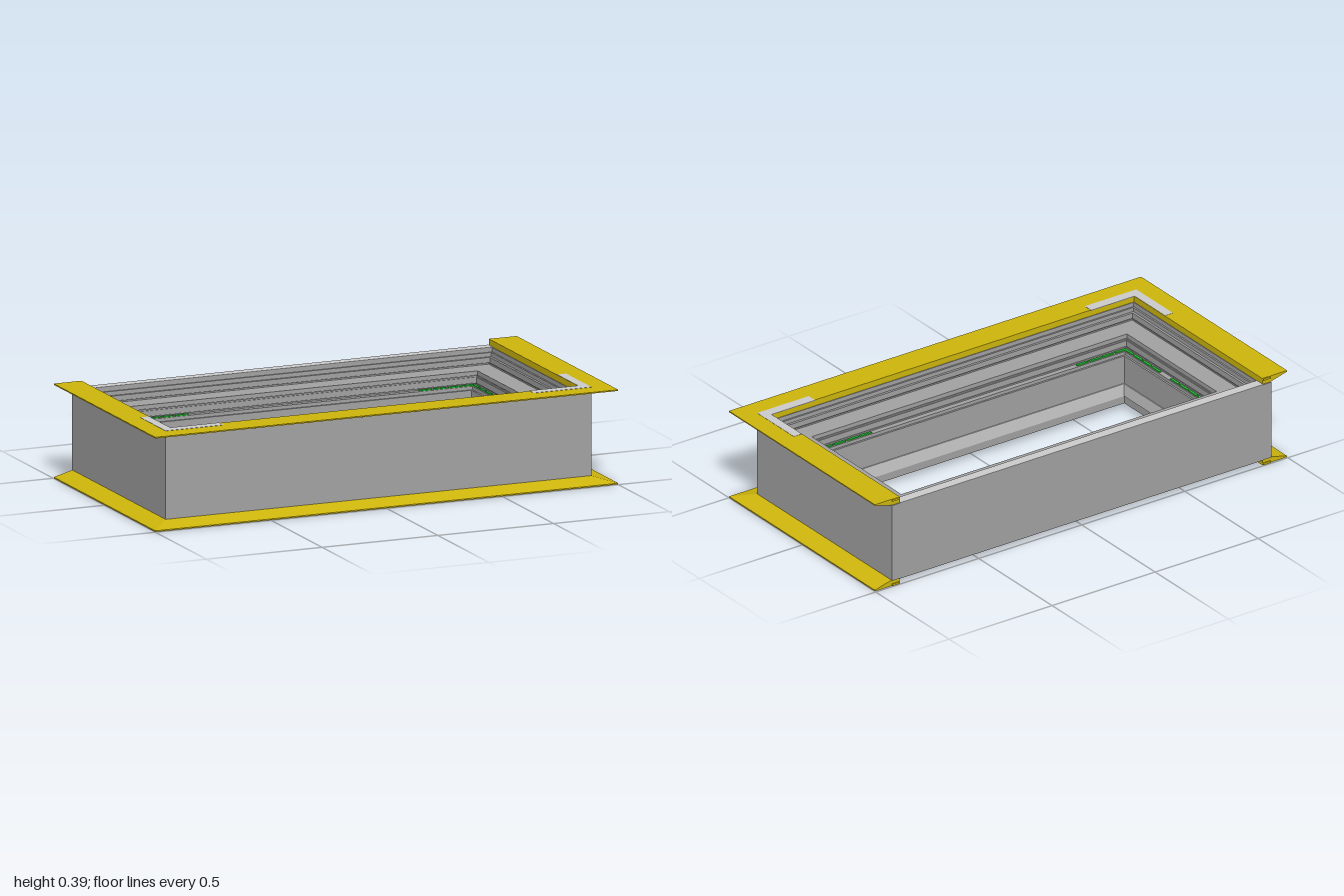
import * as THREE from 'three';

const H = 0.387;            // overall height
const HX = 0.92, HZ = 0.46; // half size of the box frame
const CZ = -0.04;           // z centre of the box frame

const material = (color) => new THREE.MeshStandardMaterial({ color, flatShading: true });

// Sweep a closed [offset, y] profile along mitred stations; station(d) gives [x, z] pairs.
function sweep(profile, station, closed) {
  const n = profile.length;
  const paths = profile.map(([d]) => station(d));
  const m = paths[0].length;
  const pts = [];
  for (let s = 0; s < m; s++)
    for (let i = 0; i < n; i++) pts.push(new THREE.Vector3(paths[i][s][0], profile[i][1], paths[i][s][1]));
  const tris = [];
  for (let s = 0; s < (closed ? m : m - 1); s++) {
    const t = (s + 1) % m;
    for (let i = 0; i < n; i++) {
      const j = (i + 1) % n;
      const a = s * n + i, b = s * n + j, c = t * n + j, d = t * n + i;
      tris.push([a, b, c], [a, c, d]);
    }
  }
  if (!closed) {
    // End caps, wound to agree with the sides
    const contour = profile.map(([d, y]) => new THREE.Vector2(d, y));
    const ccw = !THREE.ShapeUtils.isClockWise(contour);
    for (let [a, b, c] of THREE.ShapeUtils.triangulateShape(contour.slice(), [])) {
      const p = contour;
      const area = (p[b].x - p[a].x) * (p[c].y - p[a].y) - (p[b].y - p[a].y) * (p[c].x - p[a].x);
      if ((area > 0) !== ccw) [b, c] = [c, b];
      const e = (m - 1) * n;
      tris.push([a, c, b], [e + a, e + b, e + c]);
    }
  }
  // Turn the shell outwards if its signed volume is negative
  let volume = 0;
  for (const [a, b, c] of tris) volume += pts[a].dot(new THREE.Vector3().crossVectors(pts[b], pts[c]));
  const out = [];
  for (const [a, b, c] of tris)
    for (const k of volume > 0 ? [a, b, c] : [a, c, b]) out.push(pts[k].x, pts[k].y, pts[k].z);
  const g = new THREE.BufferGeometry();
  g.setAttribute('position', new THREE.Float32BufferAttribute(out, 3));
  g.computeVertexNormals();
  return g;
}

// Rectangular ring, d measured inwards from the outer face
const ring = (d) => [
  [HX - d, CZ - HZ + d], [HX - d, CZ + HZ - d], [-HX + d, CZ + HZ - d], [-HX + d, CZ - HZ + d],
];
// Three-sided path open at the back, d measured outwards from the frame
const uPath = (d) => [[HX + d, -0.495], [HX + d, 0.42 + d], [-HX - d, 0.42 + d], [-HX - d, -0.495]];

export function createModel() {
  const model = new THREE.Group();
  const grey = material(0xa2a2a2), light = material(0xcccccc);
  const yellow = material(0xceb60c), green = material(0x22cc33);
  const add = (name, geometry, mat) => {
    const mesh = new THREE.Mesh(geometry, mat);
    mesh.name = name;
    model.add(mesh);
    return mesh;
  };

  // Stepped box frame around the opening
  const frame = [
    [0, 0.026], [0, 0.36], [0.043, 0.36], [0.043, 0.342], [0.05, 0.342], [0.05, 0.325],
    [0.06, 0.325], [0.06, 0.3], [0.155, 0.3], [0.155, 0.278], [0.165, 0.278], [0.165, 0.25],
    [0.194, 0.25], [0.194, 0.236], [0.202, 0.236], [0.202, 0.026],
  ];
  add('frame', sweep(frame, ring, true), grey);

  // Raised gasket ribs on the ledges
  for (const [d, y] of [[0.066, 0.3], [0.158, 0.278], [0.169, 0.25]])
    add('gasketRib', sweep([[d, y - 0.002], [d, y + 0.006], [d + 0.003, y + 0.006], [d + 0.003, y - 0.002]], ring, true), grey);

  // Light band lining the opening, and the light cap on the back wall
  add('openingBand', sweep([[0.2, 0.06], [0.2, 0.115], [0.206, 0.115], [0.206, 0.06]], ring, true), light);
  for (const y of [0.3605, 0.0255]) {
    const strip = add('backStrip', new THREE.BoxGeometry(1.76, 0.002, 0.043), y > 0.1 ? light : grey);
    strip.position.set(0, y, -0.4785);
  }

  // Tapered flanges and corner plates, mirrored top and bottom
  const flange = [[-0.04, 0.36], [-0.04, H - 0.001], [0.08, H - 0.001], [0.08, H - 0.006], [0, 0.36]];
  const plate = new THREE.Shape([
    [0.67, -0.42], [0.92, -0.42], [0.92, -0.17], [0.881, -0.17], [0.881, -0.376], [0.67, -0.376],
  ].map(([x, y]) => new THREE.Vector2(x, y)));
  const plateGeo = new THREE.ExtrudeGeometry(plate, { depth: 0.002, bevelEnabled: false }).rotateX(-Math.PI / 2);
  const mirrored = new THREE.Shape(plate.getPoints().map((p) => new THREE.Vector2(-p.x, p.y)));
  const mirroredGeo = new THREE.ExtrudeGeometry(mirrored, { depth: 0.002, bevelEnabled: false }).rotateX(-Math.PI / 2);
  for (const top of [true, false]) {
    const profile = flange.map(([d, y]) => [d, top ? y : H - y]);
    add(top ? 'topFlange' : 'bottomFlange', sweep(profile, uPath, false), yellow);
    for (const g of [plateGeo, mirroredGeo])
      add('cornerPlate', g, light).position.y = top ? H - 0.002 : 0;
    // Small tongues at the open flange ends
    for (const s of [-1, 1]) {
      const tongue = add('flangeTongue', new THREE.BoxGeometry(0.036, 0.008, 0.01), yellow);
      tongue.position.set(s * 0.9, top ? H - 0.006 : 0.006, -0.495);
    }
  }

  // Dashed green seals hugging the corners of the inner ledge
  const dash = (x, z, w, d) => add('sealDash', new THREE.BoxGeometry(w, 0.006, d), green).position.set(x, 0.252, z);
  for (const sx of [-1, 1])
    for (const sz of [-1, 1])
      for (let i = 0; i < 4; i++) {
        dash(sx * (0.712 - i * 0.062), CZ + sz * 0.275, 0.054, 0.01);
        dash(sx * 0.735, CZ + sz * (0.25 - i * 0.062), 0.01, 0.054);
      }

  return model;
}
